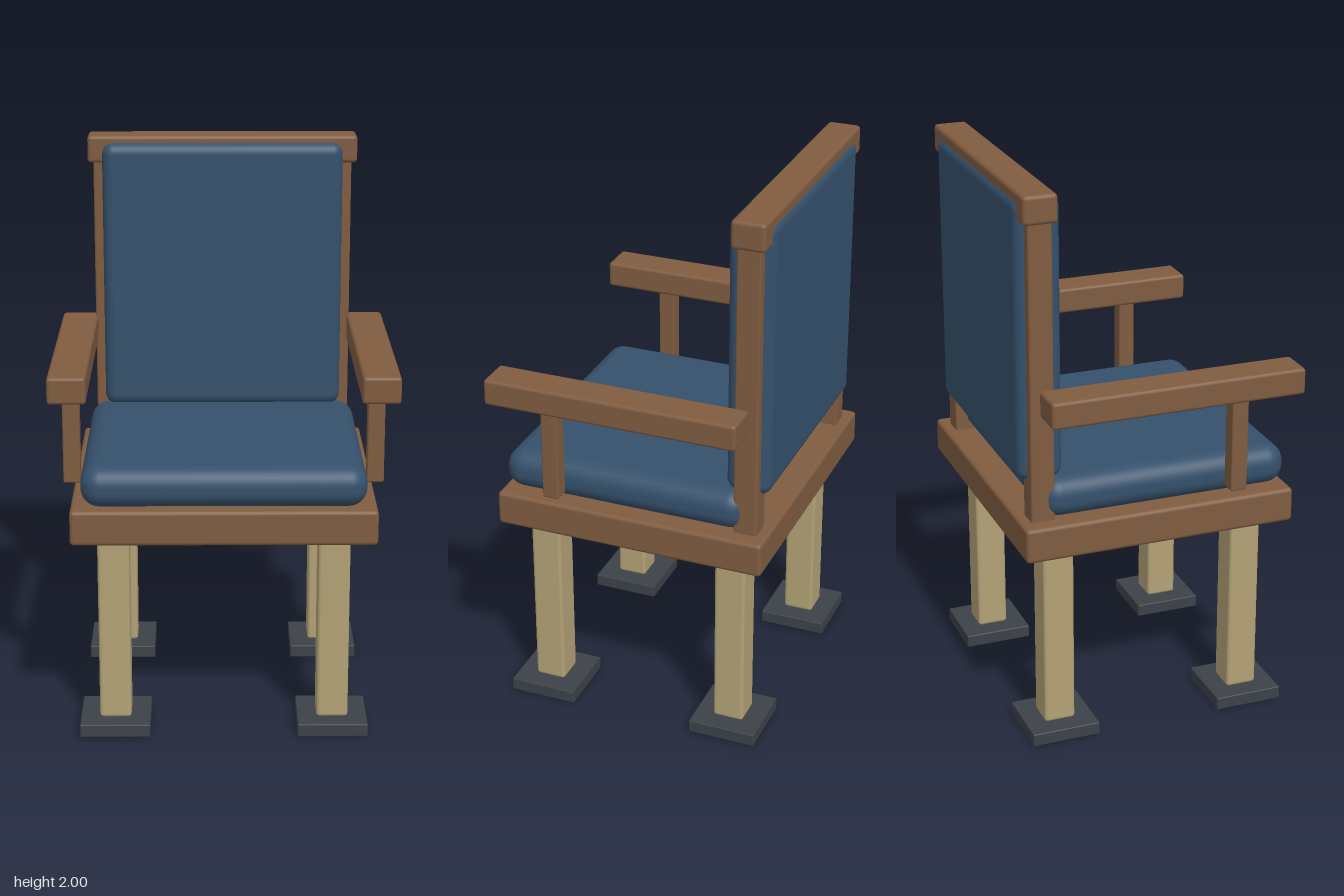
import * as THREE from 'three';
import { RoundedBoxGeometry } from 'three/addons/geometries/RoundedBoxGeometry.js';

const material = (name, color) => {
  const m = new THREE.MeshStandardMaterial({ color });
  m.name = name;
  return m;
};

export function createModel() {
  const chair = new THREE.Group();
  chair.name = 'armchair';
  const wood = material('brown wood', 0x805c40);
  const fabric = material('blue fabric', 0x35516c);
  const pale = material('pale wood', 0xb3a276);
  const rubber = material('dark rubber', 0x3c4248);

  // Rounded block spanning [min, max] on each axis
  const block = (name, mat, [x0, x1], [y0, y1], [z0, z1], radius, segments = 2) => {
    const geo = new RoundedBoxGeometry(x1 - x0, y1 - y0, z1 - z0, segments, radius);
    const mesh = new THREE.Mesh(geo, mat);
    mesh.name = name;
    mesh.position.set((x0 + x1) / 2, (y0 + y1) / 2, (z0 + z1) / 2);
    chair.add(mesh);
  };

  // Seat and back
  block('seatBase', wood, [-0.53, 0.53], [0.725, 0.85], [-0.492, 0.494], 0.014);
  block('seatCushion', fabric, [-0.493, 0.493], [0.85, 0.995], [-0.412, 0.487], 0.065, 5);
  block('backCushion', fabric, [-0.44, 0.44], [0.985, 1.975], [-0.485, -0.325], 0.04, 4);
  block('topRail', wood, [-0.493, 0.493], [1.9, 2.0], [-0.475, -0.355], 0.014);

  for (const side of [1, -1]) {
    const prefix = side > 0 ? 'left' : 'right';
    const span = (a, b) => (side > 0 ? [a, b] : [-b, -a]);

    // Back upright, armrest and its post
    block(prefix + 'Upright', wood, span(0.39, 0.473), [0.84, 1.92], [-0.455, -0.37], 0.008);
    block(prefix + 'Armrest', wood, span(0.465, 0.597), [1.23, 1.325], [-0.42, 0.494], 0.012);
    block(prefix + 'ArmPost', wood, span(0.5, 0.56), [0.89, 1.25], [0.241, 0.301], 0.006);

    // Legs with square foot pads
    for (const [end, z] of [['Front', 0.355], ['Back', -0.348]]) {
      block(prefix + end + 'Leg', pale, span(0.329, 0.441), [0.045, 0.74], [z - 0.056, z + 0.056], 0.012);
      block(prefix + end + 'Foot', rubber, span(0.261, 0.509), [0, 0.047], [z - 0.124, z + 0.124], 0.004, 1);
    }
  }
  return chair;
}
